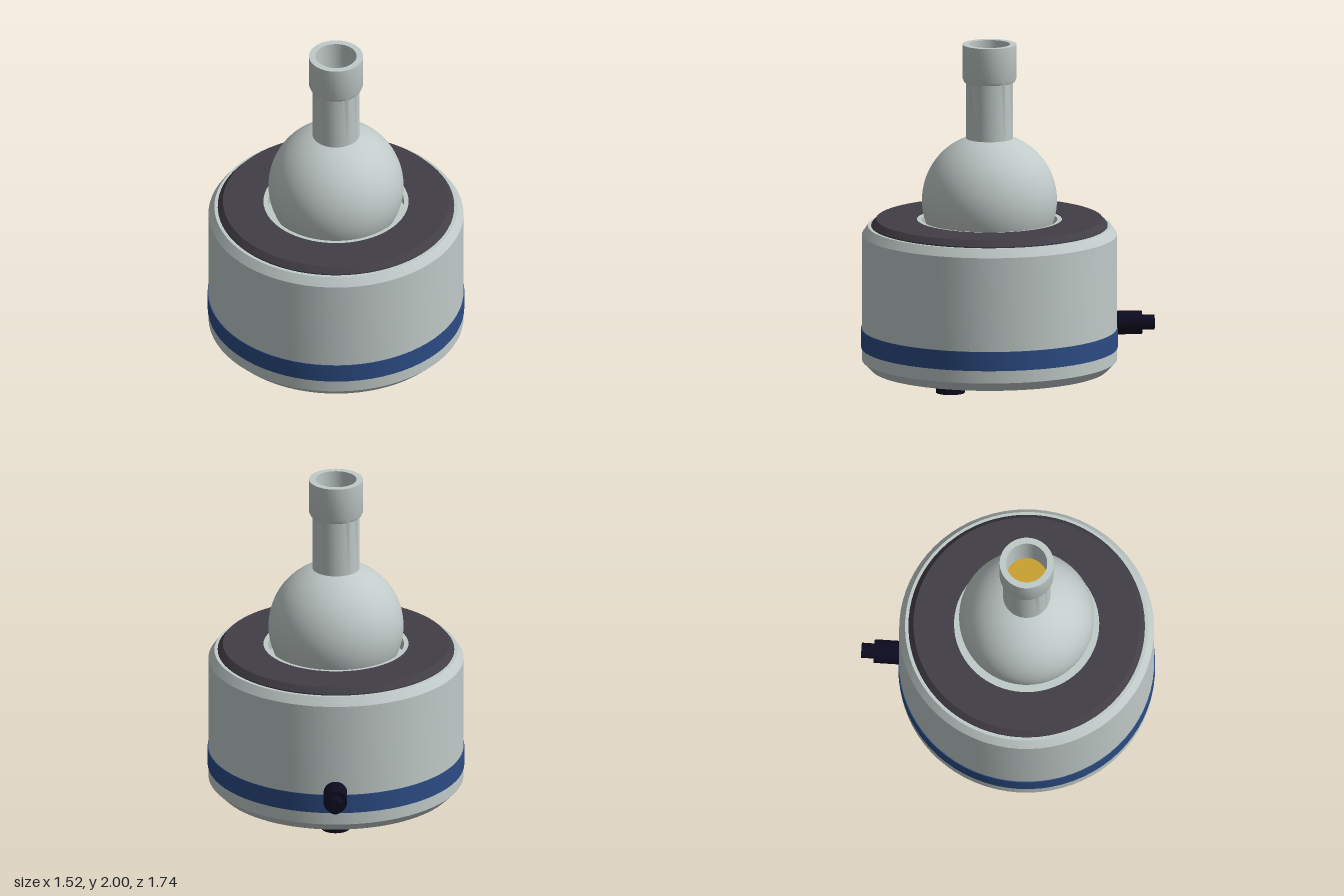
import * as THREE from 'three';
import { toCreasedNormals } from 'three/addons/utils/BufferGeometryUtils.js';

const mat = (name, color) => {
  const m = new THREE.MeshStandardMaterial({ color });
  m.name = name;
  return m;
};

export function createModel() {
  const shell = mat('pale grey', 0xc0cac8);
  const cover = mat('charcoal', 0x423e46);
  const blue = mat('blue', 0x2c4c84);
  const rubber = mat('black navy', 0x0d0b20);
  const gold = mat('gold', 0xc9a030);

  const group = new THREE.Group();
  const axisZ = 0.11; // the turned parts sit forward of the cable plug

  const add = (name, geometry, material, x = 0, y = 0, z = axisZ) => {
    const mesh = new THREE.Mesh(geometry, material);
    mesh.name = name;
    mesh.position.set(x, y, z);
    group.add(mesh);
    return mesh;
  };
  // Turned solid: profile runs from the bottom, up the outside, then inward
  const turned = (profile, segments = 72) => toCreasedNormals(
    new THREE.LatheGeometry(profile.map(([r, y]) => new THREE.Vector2(r, y)), segments), 0.45);

  // Base housing with chamfered rims and a raised socket lip around the ball
  add('housing', turned([
    [0, 0.045], [0.7, 0.045], [0.755, 0.1], [0.755, 0.855], [0.72, 0.905],
    [0.43, 0.905], [0.43, 0.943], [0.402, 0.943], [0.41, 0.85], [0, 0.85],
  ]), shell);

  // Dark top ring
  add('topRing', turned([
    [0.43, 0.9], [0.7, 0.9], [0.7, 0.912], [0.67, 0.947], [0.43, 0.947], [0.43, 0.9],
  ]), cover);

  // Painted band
  add('band', turned([
    [0.75, 0.175], [0.76, 0.175], [0.76, 0.29], [0.75, 0.29],
  ]), blue);

  // Ball and hollow stem with a wider collar
  add('ball', new THREE.SphereGeometry(0.4, 64, 40), shell, 0, 1.06);
  add('stem', turned([
    [0.14, 1.4], [0.14, 1.775], [0.15, 1.775], [0.16, 1.797], [0.16, 2],
    [0.122, 2], [0.122, 1.7],
  ], 48), shell);
  const contact = add('contact', new THREE.CircleGeometry(0.123, 48), gold, 0, 1.75);
  contact.rotation.x = -Math.PI / 2;

  // Three feet: two at the front, one at the back
  for (const deg of [30, 150, 270]) {
    const a = THREE.MathUtils.degToRad(deg);
    add('foot', new THREE.CylinderGeometry(0.085, 0.085, 0.05, 32), rubber,
      0.565 * Math.cos(a), 0.025, axisZ + 0.565 * Math.sin(a));
  }

  // Cable plug at the back, in two steps
  const plug = (name, r, z0, z1) => {
    const part = add(name, new THREE.CylinderGeometry(r, r, z0 - z1, 32), rubber,
      0, 0.305, (z0 + z1) / 2);
    part.rotation.x = Math.PI / 2;
  };
  plug('plugSleeve', 0.07, -0.6, -0.795);
  plug('plugTip', 0.045, -0.78, -0.87);

  return group;
}
